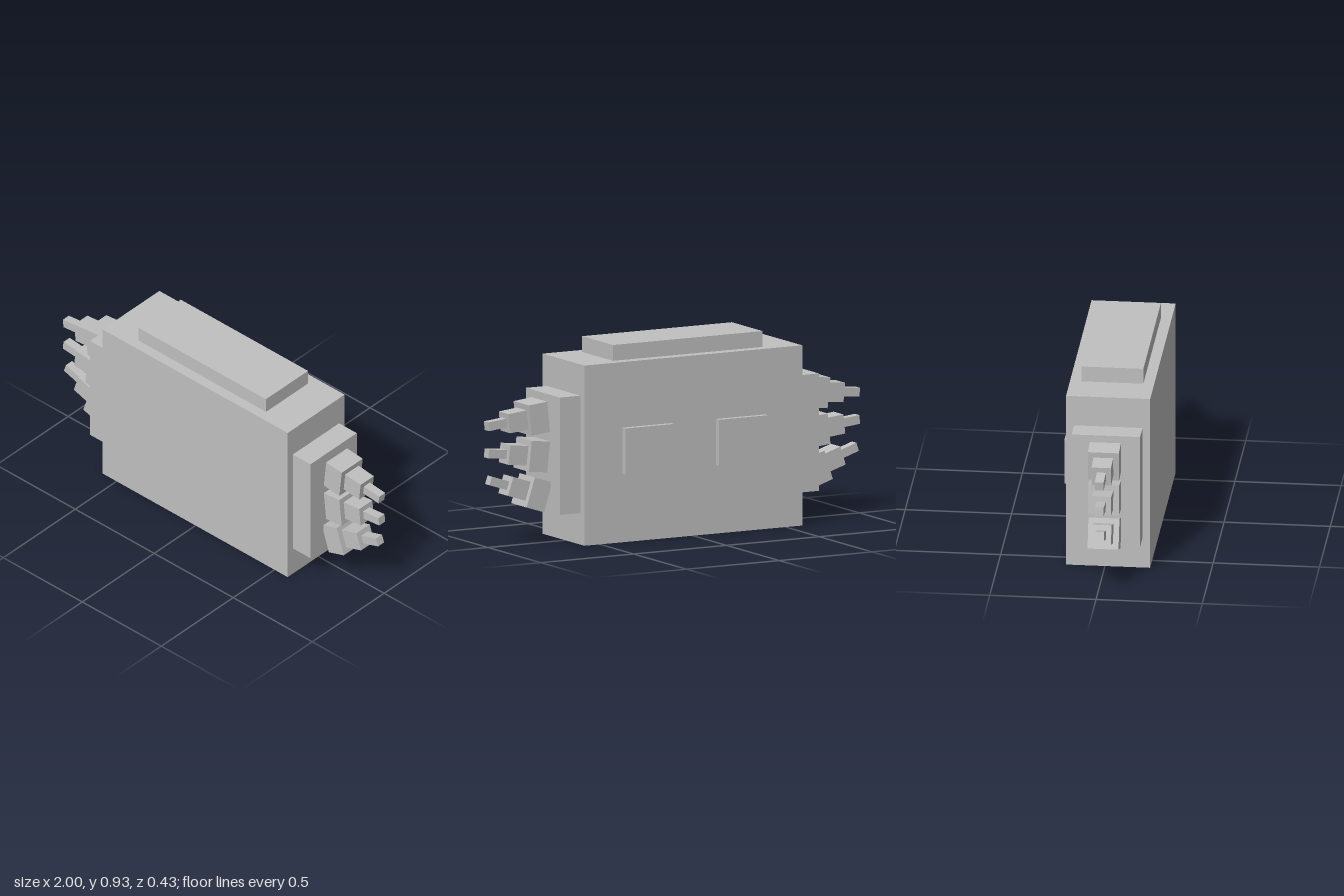
import * as THREE from 'three';

export function createModel() {
  const model = new THREE.Group();
  model.name = 'model';
  const grey = new THREE.MeshStandardMaterial({ color: 0xc0c0c0 });
  grey.name = 'plain grey';
  const Z = 0.015; // centre line of the body and arms

  const box = (name, size, pos, tilt = 0, parent = model) => {
    const mesh = new THREE.Mesh(new THREE.BoxGeometry(...size), grey);
    mesh.name = name;
    mesh.position.set(...pos);
    mesh.rotation.z = tilt;
    parent.add(mesh);
    return mesh;
  };

  // Main slab and the raised lid on top
  box('body', [1.173, 0.855, 0.396], [-0.003, 0.4275, Z]);
  box('topLid', [0.806, 0.075, 0.292], [-0.003, 0.8925, Z + 0.001]);

  // Tapering arms: tilt in degrees, then the x and y centre of each segment
  const arms = [
    { name: 'upperArm', tilt: -6, at: [[0.755, 0.599], [0.853, 0.5885], [0.95, 0.578]] },
    { name: 'middleArm', tilt: 6, at: [[0.755, 0.419], [0.853, 0.429], [0.95, 0.439]] },
    { name: 'lowerArm', tilt: 18, at: [[0.755, 0.2375], [0.848, 0.27], [0.941, 0.3]] },
  ];
  const thickness = [0.146, 0.092, 0.042];

  for (const side of [1, -1]) {
    const label = side > 0 ? 'left' : 'right';

    // Side plate carrying the arms
    box(label + 'SidePlate', [0.112, 0.557, 0.322], [-0.003 + side * 0.642, 0.4285, Z + 0.001]);

    // Square pad on the back
    box(label + 'BackPad', [0.262, 0.219, 0.031], [-0.003 + side * 0.252, 0.4345, -0.1965]);

    for (const arm of arms) {
      const group = new THREE.Group();
      group.name = label + arm.name[0].toUpperCase() + arm.name.slice(1);
      arm.at.forEach(([x, y], i) => {
        const t = thickness[i];
        box('armSegment' + (i + 1), [0.099, t, t], [side * x, y, Z],
          side * THREE.MathUtils.degToRad(arm.tilt), group);
      });
      model.add(group);
    }
  }
  return model;
}
